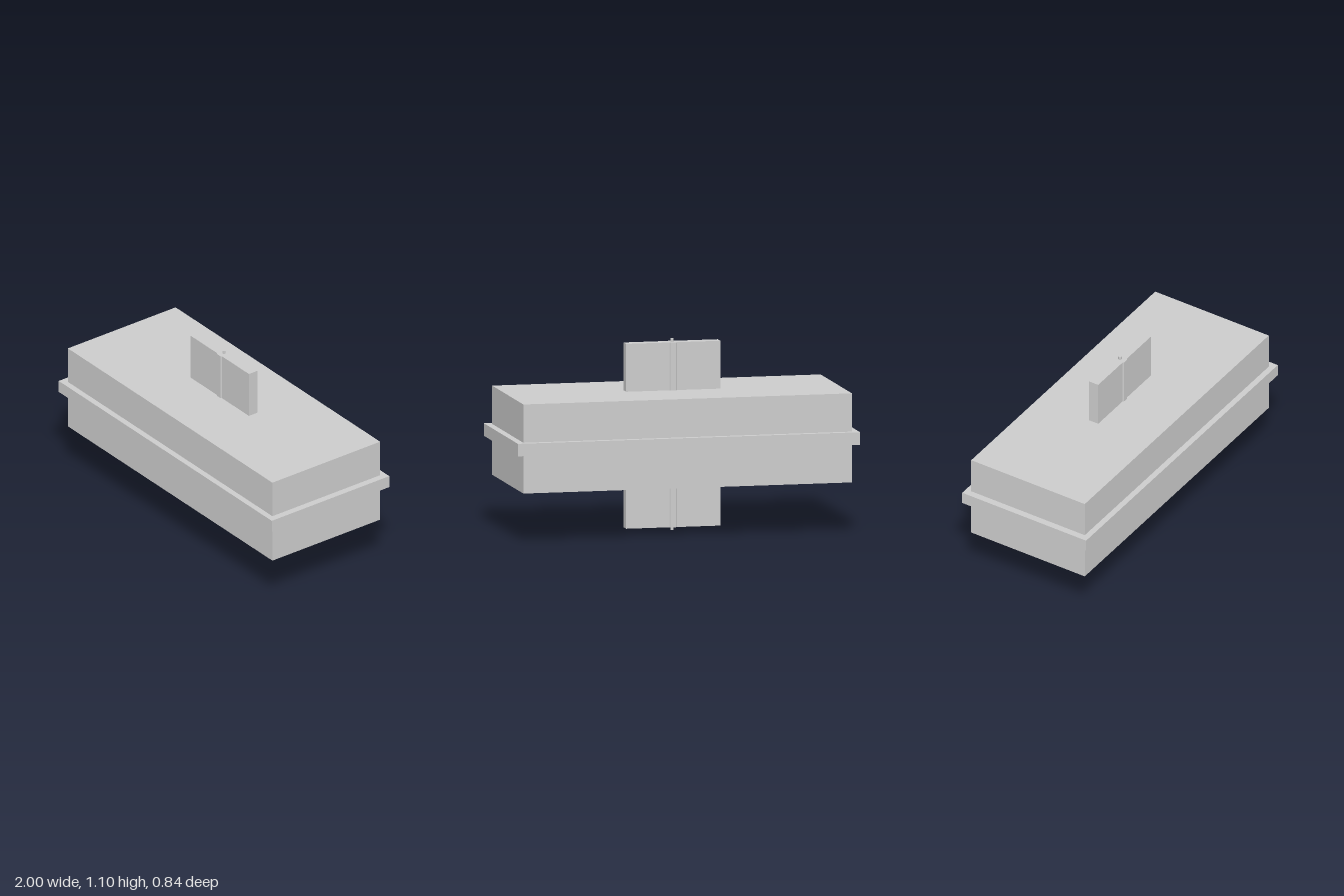
import * as THREE from 'three';

export function createModel() {
  const model = new THREE.Group();
  const material = new THREE.MeshStandardMaterial({ color: 0xcccccc, flatShading: true });
  const midY = 0.55;

  function add(name, geometry) {
    const mesh = new THREE.Mesh(geometry, material);
    mesh.name = name;
    mesh.position.y = midY;
    model.add(mesh);
  }

  // Main block and the flange around its middle
  add('body', new THREE.BoxGeometry(1.92, 0.512, 0.77));
  add('flange', new THREE.BoxGeometry(2, 0.072, 0.84));

  // Upright plate passing through the body
  add('plate', new THREE.BoxGeometry(0.55, 1.062, 0.062));

  // Faceted sleeve along the plate's centre, with flats facing front and back
  const sleeve = new THREE.CylinderGeometry(0.041, 0.041, 1.062, 8);
  sleeve.rotateY(Math.PI / 8);
  add('sleeve', sleeve);

  // Thin pin protruding at both ends
  add('pin', new THREE.CylinderGeometry(0.01, 0.01, 1.1, 12));

  return model;
}
